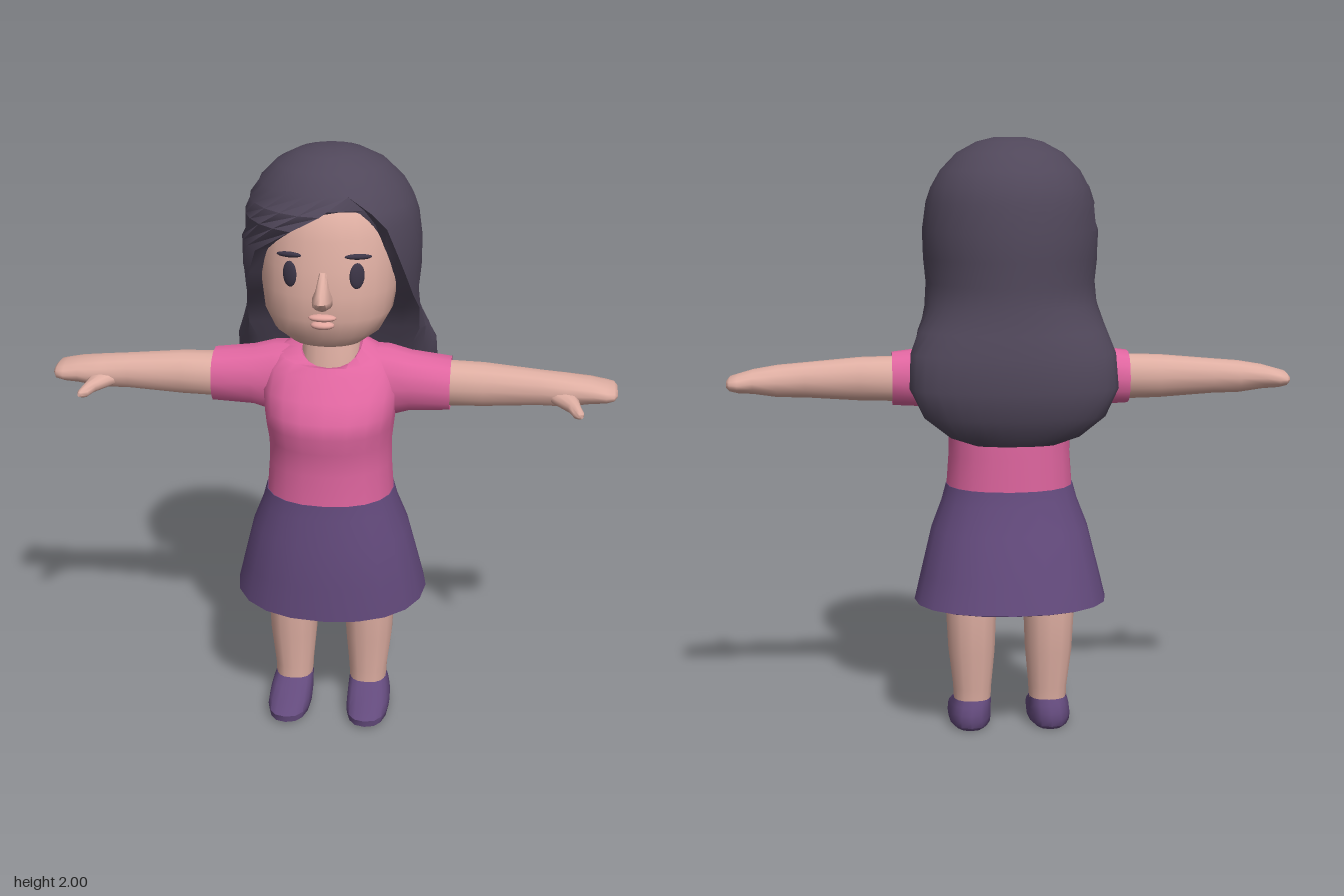
import * as THREE from 'three';
import { toCreasedNormals } from 'three/addons/utils/BufferGeometryUtils.js';

const mat = (name, color) => {
  const m = new THREE.MeshStandardMaterial({ color });
  m.name = name;
  return m;
};

// Skin a list of equal-length point rings (bottom to top) and cap both ends
function skinRings(rings) {
  const n = rings[0].length, pos = [], idx = [];
  rings.forEach(r => r.forEach(p => pos.push(p.x, p.y, p.z)));
  for (let i = 0; i < rings.length - 1; i++) {
    for (let j = 0; j < n; j++) {
      const a = i * n + j, b = i * n + (j + 1) % n;
      idx.push(a, b, b + n, a, b + n, a + n);
    }
  }
  [0, rings.length - 1].forEach((i, top) => {
    const c = new THREE.Vector3();
    rings[i].forEach(p => c.addScaledVector(p, 1 / n));
    const k = pos.length / 3;
    pos.push(c.x, c.y, c.z);
    for (let j = 0; j < n; j++) {
      const a = i * n + j, b = i * n + (j + 1) % n;
      if (top) idx.push(k, a, b); else idx.push(k, b, a);
    }
  });
  const g = new THREE.BufferGeometry();
  g.setAttribute('position', new THREE.Float32BufferAttribute(pos, 3));
  g.setIndex(idx);
  return g;
}

// Oval rings: [y, half width, front z, back z, centre x, front dip]; power < 1 squares them off
function loft(specs, n = 16, power = 0.9) {
  const sp = v => Math.sign(v) * Math.abs(v) ** power;
  return skinRings(specs.map(([y, rx, zf, zb, cx = 0, dip = 0]) =>
    Array.from({ length: n }, (_, j) => {
      const t = j / n * Math.PI * 2, c = Math.cos(t);
      return new THREE.Vector3(cx + rx * sp(Math.sin(t)),
        y - dip * Math.max(0, c), (zf + zb) / 2 + (zf - zb) / 2 * sp(c));
    })));
}

// Hair rings: [y, half width, centre z, front depth, back depth, right edge, left edge in degrees]
function hairGeometry(specs, n = 22) {
  return skinRings(specs.map(([y, rx, zc, rf, rb, tr, tl]) => {
    const at = (deg, k = 1) => {
      const t = deg * Math.PI / 180, c = Math.cos(t);
      return new THREE.Vector3(rx * k * Math.sin(t), y, zc + (c > 0 ? rf : rb) * k * c);
    };
    const ring = [at(tl, 0.8)];
    for (let j = 0; j <= n; j++) ring.push(at(tl + (360 - tr - tl) * j / n));
    ring.push(at(360 - tr, 0.8));
    return ring;
  }));
}

export function createModel() {
  const skin = mat('skin', 0xdeaea2), hair = mat('hair', 0x50475a);
  const pink = mat('pink shirt', 0xe066a0), purple = mat('purple cloth', 0x634a7c);
  const dark = mat('dark eyes', 0x3d3648), lip = mat('lips', 0xe3a79f);

  const group = new THREE.Group();
  const add = (name, geo, material, crease = 0.8) => {
    const m = new THREE.Mesh(toCreasedNormals(geo, crease), material);
    m.name = name;
    group.add(m);
    return m;
  };
  // Flattened ball for small face details
  const dab = (name, material, p, s, turn = 0, tilt = 0) => {
    const m = add(name, new THREE.SphereGeometry(1, 14, 10), material, 3);
    m.position.set(...p);
    m.scale.set(...s);
    m.rotation.set(0, turn, tilt);
  };

  // Head, neck and nose
  add('head', loft([
    [1.387, 0.06, 0.18, 0.07], [1.4, 0.115, 0.215, 0.02], [1.44, 0.17, 0.25, -0.03],
    [1.5, 0.205, 0.268, -0.1], [1.58, 0.218, 0.27, -0.15], [1.66, 0.22, 0.26, -0.17],
    [1.75, 0.21, 0.242, -0.17], [1.83, 0.175, 0.22, -0.14], [1.9, 0.1, 0.15, -0.08]], 24, 0.95), skin, 1.2);
  add('neck', loft([
    [1.24, 0.1, 0.12, -0.06], [1.3, 0.1, 0.115, -0.07], [1.35, 0.095, 0.105, -0.07],
    [1.39, 0.085, 0.1, -0.05], [1.46, 0.085, 0.1, -0.05]]), skin);
  add('nose', loft([
    [1.543, 0.018, 0.29, 0.2], [1.558, 0.032, 0.322, 0.2], [1.58, 0.032, 0.342, 0.2],
    [1.605, 0.022, 0.325, 0.2], [1.66, 0.012, 0.272, 0.2]], 12), skin, 1.2);
  dab('upperLip', lip, [0, 1.516, 0.27], [0.045, 0.012, 0.02]);
  dab('lowerLip', lip, [0, 1.491, 0.267], [0.038, 0.014, 0.022]);

  // Hair: parted cap that opens around the face and falls down the back
  add('hair', hairGeometry([
    [1.02, 0.13, -0.23, 0.02, 0.04, 50, 50],
    [1.045, 0.21, -0.22, 0.05, 0.07, 50, 50],
    [1.11, 0.295, -0.21, 0.09, 0.115, 50, 50],
    [1.2, 0.34, -0.19, 0.1, 0.15, 50, 50],
    [1.31, 0.335, -0.15, 0.11, 0.18, 50, 50],
    [1.38, 0.31, -0.1, 0.13, 0.21, 66, 66],
    [1.46, 0.285, -0.03, 0.15, 0.26, 85, 85],
    [1.53, 0.28, 0, 0.25, 0.285, 74, 74],
    [1.61, 0.288, 0, 0.28, 0.287, 61, 61],
    [1.7, 0.29, 0, 0.29, 0.284, 50, 51],
    [1.79, 0.278, 0, 0.292, 0.272, 21, 44],
    [1.84, 0.262, 0, 0.28, 0.255, 2, 35],
    [1.893, 0.23, 0, 0.24, 0.225, -19, 19],
    [1.95, 0.175, 0.01, 0.175, 0.17, -19, 19],
    [1.985, 0.11, 0.02, 0.11, 0.11, -19, 19],
    [2.0, 0.05, 0.02, 0.05, 0.05, -19, 19]]), hair);

  // Shirt body with scooped neckline
  add('shirt', loft([
    [0.84, 0.213, 0.23, -0.145], [0.95, 0.205, 0.23, -0.147], [1.03, 0.205, 0.235, -0.147],
    [1.09, 0.212, 0.255, -0.145], [1.14, 0.218, 0.25, -0.14], [1.2, 0.225, 0.21, -0.13],
    [1.27, 0.215, 0.16, -0.115], [1.325, 0.175, 0.14, -0.1, 0, 0.03],
    [1.36, 0.105, 0.118, -0.08, 0, 0.07], [1.345, 0.09, 0.1, -0.06, 0, 0.07]], 20), pink);

  // Skirt, turned in at the hem and hollow below
  add('skirt', loft([
    [0.62, 0.22, 0.19, -0.16], [0.47, 0.295, 0.23, -0.23, 0, 0.02], [0.45, 0.31, 0.24, -0.245, 0, 0.02],
    [0.455, 0.325, 0.257, -0.26, 0, 0.025], [0.55, 0.302, 0.256, -0.235],
    [0.7, 0.265, 0.248, -0.19], [0.79, 0.23, 0.236, -0.158], [0.845, 0.215, 0.231, -0.146]], 20), purple);

  for (const s of [1, -1]) {
    const side = s > 0 ? 'left' : 'right', cy = y => -s * y;
    // Lofts along the arm are turned from upright to sideways
    const alongArm = (specs, n) => loft(specs, n).rotateZ(-s * Math.PI / 2);

    add(side + 'Sleeve', alongArm([
      [0.1, 0.12, 0.11, -0.1, cy(1.22)], [0.19, 0.12, 0.105, -0.1, cy(1.215)],
      [0.26, 0.1, 0.098, -0.097, cy(1.215)], [0.393, 0.088, 0.095, -0.095, cy(1.21)],
      [0.385, 0.07, 0.075, -0.075, cy(1.21)]], 14), pink);
    add(side + 'Arm', alongArm([
      [0.33, 0.076, 0.075, -0.078, cy(1.21)], [0.5, 0.072, 0.07, -0.072, cy(1.21)],
      [0.68, 0.058, 0.063, -0.062, cy(1.208)], [0.77, 0.053, 0.07, -0.066, cy(1.205)],
      [0.85, 0.04, 0.066, -0.075, cy(1.205)], [0.9, 0.031, 0.062, -0.083, cy(1.2)],
      [0.925, 0.024, 0.055, -0.08, cy(1.2)], [0.936, 0.012, 0.03, -0.06, cy(1.2)]], 14), skin, 1.1);
    // Thumb points forward
    add(side + 'Thumb', loft([
      [0.03, 0.055, -1.17, -1.22, s * 0.745], [0.075, 0.04, -1.168, -1.212, s * 0.772],
      [0.11, 0.022, -1.163, -1.2, s * 0.797], [0.145, 0.018, -1.16, -1.192, s * 0.81],
      [0.162, 0.008, -1.168, -1.184, s * 0.817]], 10).rotateX(Math.PI / 2), skin, 1.1);

    add(side + 'Leg', loft([
      [0.07, 0.063, 0.085, -0.05, s * 0.13], [0.14, 0.066, 0.087, -0.055, s * 0.13],
      [0.27, 0.08, 0.1, -0.078, s * 0.132], [0.42, 0.087, 0.11, -0.085, s * 0.133],
      [0.65, 0.09, 0.115, -0.085, s * 0.13]], 14), skin);
    add(side + 'Shoe', loft([
      [0, 0.058, 0.215, -0.065, s * 0.137], [0.012, 0.072, 0.235, -0.077, s * 0.137],
      [0.035, 0.075, 0.238, -0.08, s * 0.137], [0.055, 0.073, 0.205, -0.078, s * 0.136],
      [0.08, 0.069, 0.13, -0.068, s * 0.133], [0.102, 0.064, 0.088, -0.056, s * 0.13],
      [0.09, 0.058, 0.075, -0.045, s * 0.13]], 16, 0.8), purple);

    dab(side + 'Eye', dark, [s * 0.105, 1.648, 0.243], [0.025, 0.042, 0.009], s * 0.45);
    dab(side + 'Eyebrow', dark, [s * 0.108, 1.708, 0.236], [0.046, 0.009, 0.009], s * 0.45, -s * 0.08);
  }
  return group;
}
